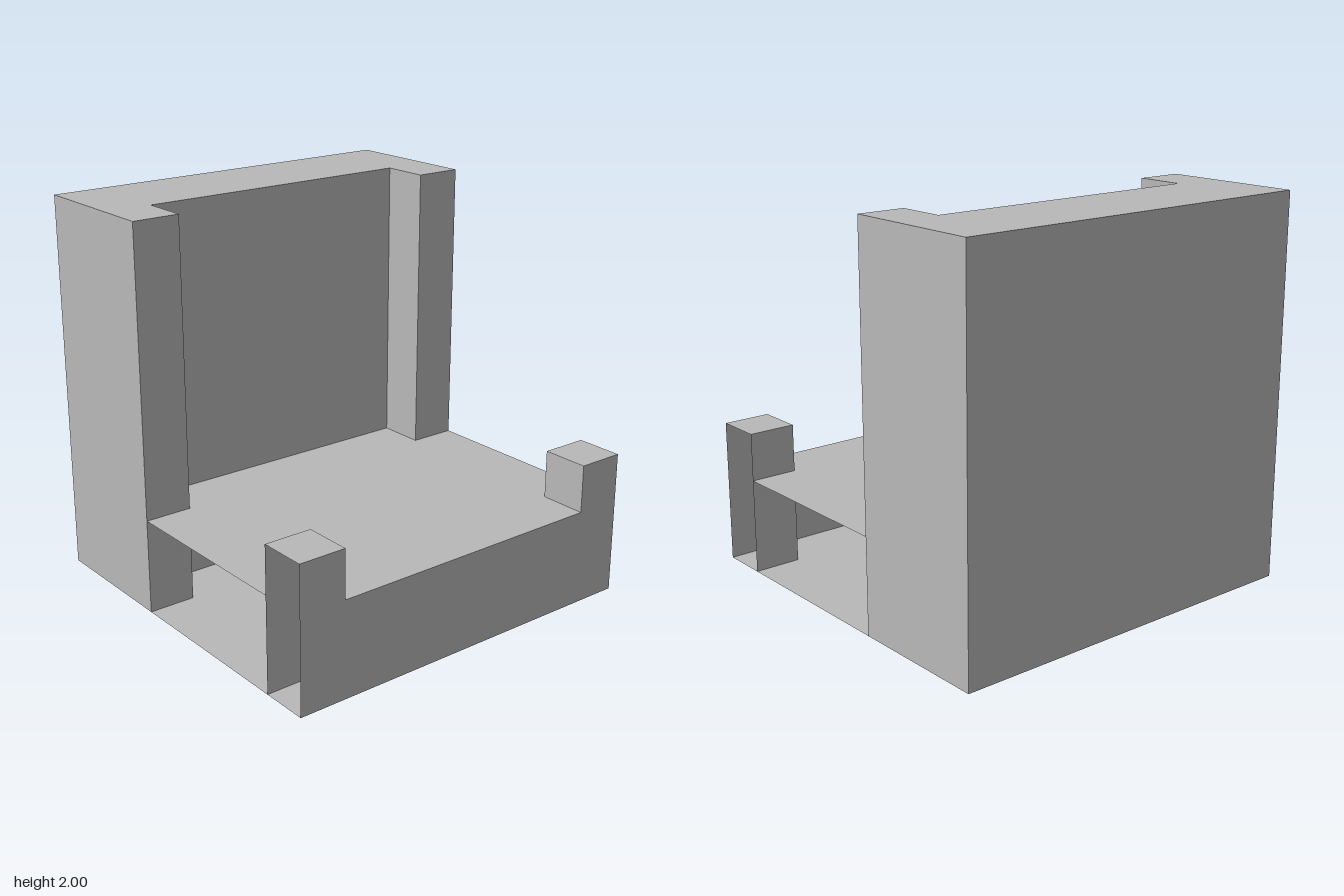
import * as THREE from 'three';

const grey = new THREE.MeshStandardMaterial({ color: 0xb8b8b8, side: THREE.DoubleSide });
grey.name = 'plain grey';

const outline = (points) => new THREE.Shape(points.map(([x, y]) => new THREE.Vector2(x, y)));

export function createModel() {
  const model = new THREE.Group();
  const add = (name, geometry) => {
    const mesh = new THREE.Mesh(geometry, grey);
    mesh.name = name;
    model.add(mesh);
  };
  // Flat shape drawn in (x, -z), laid level at height y
  const level = (points, y) =>
    new THREE.ShapeGeometry(outline(points)).rotateX(-Math.PI / 2).translate(0, y, 0);

  // Solid back with two forward wings
  const back = [[-1, 1], [-1, 0.25], [-0.75, 0.25], [-0.75, 0.5],
    [0.75, 0.5], [0.75, 0.25], [1, 0.25], [1, 1]];
  add('backrest', new THREE.ExtrudeGeometry(outline(back), { depth: 2, bevelEnabled: false })
    .rotateX(-Math.PI / 2));

  // Seat deck and floor are thin sheets, open at both sides
  const rear = [[1, 0.25], [0.75, 0.25], [0.75, 0.5], [-0.75, 0.5], [-0.75, 0.25], [-1, 0.25]];
  add('seat', level([[-1, -0.75], [-0.75, -0.75], [-0.75, -1], [0.75, -1],
    [0.75, -0.75], [1, -0.75], ...rear], 0.5));
  add('floor', level([[-1, -1], [1, -1], ...rear], 0));

  // Front sheet rises at both ends to face the posts
  add('frontPanel', new THREE.ShapeGeometry(outline([[-1, 0], [1, 0], [1, 0.75], [0.75, 0.75],
    [0.75, 0.5], [-0.75, 0.5], [-0.75, 0.75], [-1, 0.75]])).translate(0, 0, 1));

  // Hollow front posts, open on the outer side
  for (const side of [-1, 1]) {
    add('postTop', new THREE.PlaneGeometry(0.25, 0.25)
      .rotateX(-Math.PI / 2).translate(side * 0.875, 0.75, 0.875));
    add('postInnerSide', new THREE.PlaneGeometry(0.25, 0.75)
      .rotateY(-side * Math.PI / 2).translate(side * 0.75, 0.375, 0.875));
    add('postRear', new THREE.PlaneGeometry(0.25, 0.75)
      .rotateY(Math.PI).translate(side * 0.875, 0.375, 0.75));
  }
  return model;
}
